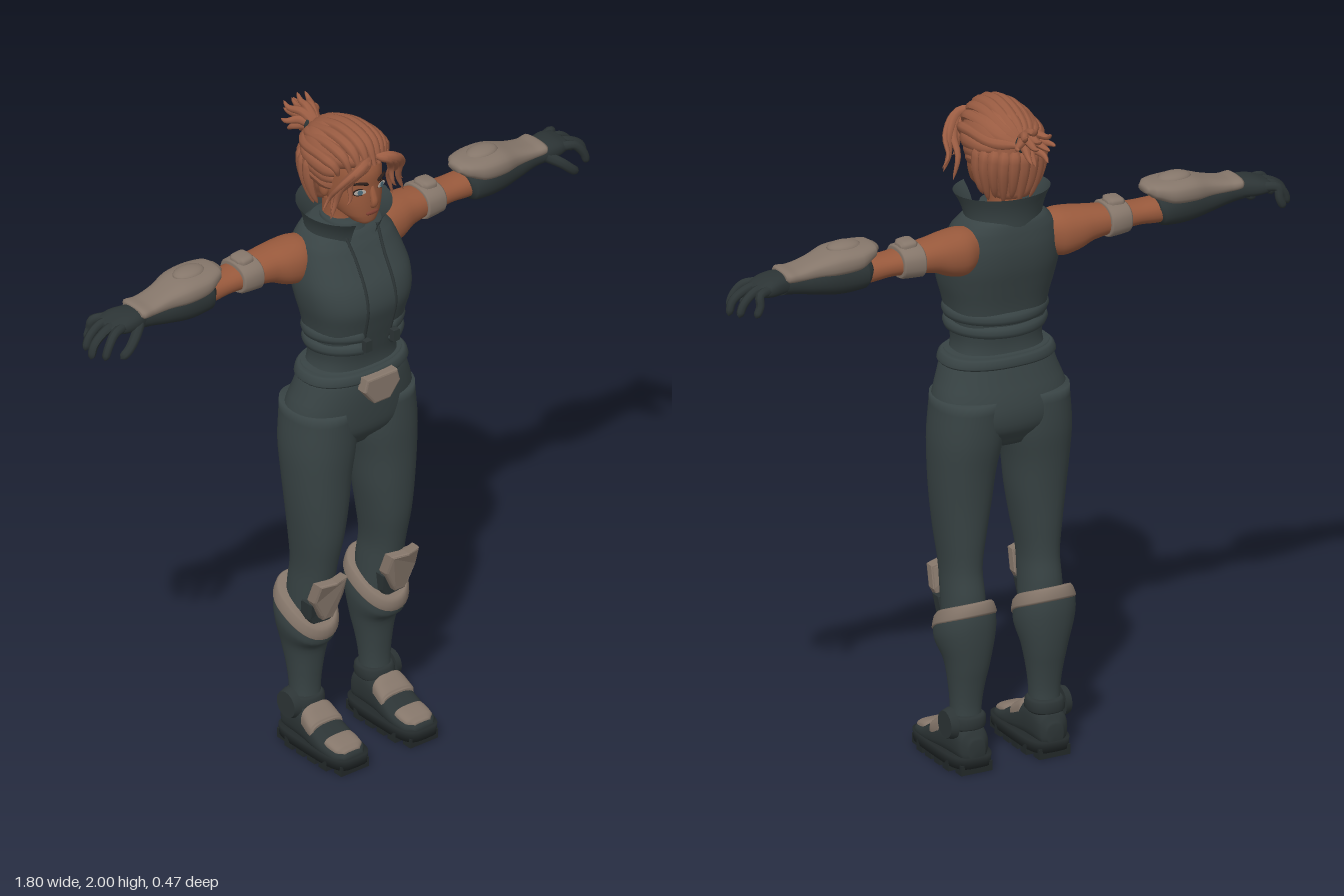
import * as THREE from 'three';

const mat = (name, color, side = THREE.FrontSide) => {
  const m = new THREE.MeshStandardMaterial({ color, side });
  m.name = name;
  return m;
};
const V = (p) => new THREE.Vector3(...p);

// Loft through rows [t, u0, u1, v0, v1] along axis k (0: u=z v=y, 1: u=x v=z, 2: u=y v=x)
function loft(k, rows, n = 2.2, seg = 28, sub = 4) {
  const pos = [], idx = [], R = [];
  rows = [...rows].sort((a, b) => a[0] - b[0]);
  const at = (i) => rows[Math.min(Math.max(i, 0), rows.length - 1)];
  const cubic = (a, b, c, d, t) =>
    b + 0.5 * t * (c - a + t * (2 * a - 5 * b + 4 * c - d + t * (3 * (b - c) + d - a)));
  for (let i = 0; i < rows.length - 1; i++)
    for (let s = 0; s < sub; s++)
      R.push(rows[i].map((_, j) => j
        ? cubic(at(i - 1)[j], at(i)[j], at(i + 1)[j], at(i + 2)[j], s / sub)
        : THREE.MathUtils.lerp(rows[i][0], rows[i + 1][0], s / sub)));
  R.push(at(rows.length));
  const put = (t, u, v) => {
    const p = [0, 0, 0];
    p[k] = t; p[(k + 2) % 3] = u; p[(k + 1) % 3] = v;
    pos.push(...p);
  };
  const pw = (c) => Math.sign(c) * Math.abs(c) ** (2 / n);
  for (const [t, u0, u1, v0, v1] of R)
    for (let j = 0; j < seg; j++) {
      const a = (j / seg) * Math.PI * 2;
      put(t, (u0 + u1 + (u1 - u0) * pw(Math.cos(a))) / 2, (v0 + v1 + (v1 - v0) * pw(Math.sin(a))) / 2);
    }
  const last = R.length - 1, c0 = R.length * seg;
  for (const r of [R[0], R[last]]) put(r[0], (r[1] + r[2]) / 2, (r[3] + r[4]) / 2);
  for (let j = 0; j < seg; j++) {
    const q = (j + 1) % seg;
    for (let i = 0; i < last; i++) {
      const a = i * seg + j, b = a + seg, c = i * seg + q, d = c + seg;
      idx.push(a, b, c, b, d, c);
    }
    idx.push(c0, j, q, c0 + 1, last * seg + q, last * seg + j);
  }
  const g = new THREE.BufferGeometry();
  g.setAttribute('position', new THREE.Float32BufferAttribute(pos, 3));
  g.setIndex(idx);
  g.computeVertexNormals();
  return g;
}

// Move every vertex by a rule
function bend(g, rule) {
  const p = g.attributes.position, v = new THREE.Vector3();
  for (let i = 0; i < p.count; i++) {
    rule(v.fromBufferAttribute(p, i));
    p.setXYZ(i, v.x, v.y, v.z);
  }
  g.computeVertexNormals();
  return g;
}

// Tapered tube through points; r(t) is the radius, sq squashes it along each axis
function sweep(pts, r, sq = [1, 1, 1], n = 14, seg = 8) {
  const curve = new THREE.CatmullRomCurve3(pts.map(V));
  const g = new THREE.TubeGeometry(curve, n, 1, seg);
  let i = 0;
  return bend(g, (v) => {
    const t = Math.floor(i++ / (seg + 1)) / n, c = curve.getPointAt(t);
    v.sub(c).multiplyScalar(r(t)).multiply(V(sq)).add(c);
  });
}
const taper = (r) => (t) => r * Math.sqrt(Math.max(0.0004, Math.min(1, t * 6 + 0.2) * (1 - t)));
const finger = (r) => (t) => r * (t > 0.99 ? 0.02 : t > 0.9 ? 0.7 : 1 - 0.2 * t);
const plate = (pts, depth, bevel = 0.006) => new THREE.ExtrudeGeometry(
  new THREE.Shape(pts.map((p) => new THREE.Vector2(...p))),
  { depth, bevelSize: bevel, bevelThickness: bevel, bevelSegments: 2, bevelEnabled: bevel > 0 });

export function createModel() {
  const model = new THREE.Group();
  const suit = mat('charcoal cloth', 0x384344, THREE.DoubleSide);
  const dark = mat('dark leather', 0x2c3435);
  const sole = mat('black rubber', 0x222829);
  const skin = mat('skin', 0x98593c);
  const hair = mat('auburn hair', 0x9a5c42);
  const armor = mat('taupe armour', 0x85766a);
  const white = mat('eye white', 0xb5aca4);
  const iris = mat('iris blue', 0x4d6c7a);
  const ink = mat('lash brown', 0x2c1e1a);
  const lip = mat('lip', 0x7f4032);

  const add = (name, g, m) => {
    const o = new THREE.Mesh(g, m);
    o.name = name;
    model.add(o);
  };
  const pair = (name, g, m) => {
    add(name + 'Left', g, m);
    const f = g.clone().scale(-1, 1, 1);
    const id = f.index ? Array.from(f.index.array) : Array.from({ length: f.attributes.position.count }, (_, i) => i);
    for (let i = 0; i < id.length; i += 3) [id[i], id[i + 1]] = [id[i + 1], id[i]];
    f.setIndex(id);
    add(name + 'Right', f, m);
  };
  const sym = (rows) => rows.map(([y, w, b, f]) => [y, -w, w, b, f]);

  // Vest, neckband and trousers
  add('vest', loft(1, sym([[1.2, .15, -.05, .15], [1.27, .132, -.04, .148], [1.34, .142, -.05, .165], [1.4, .153, -.06, .182],
    [1.46, .168, -.075, .195], [1.52, .174, -.09, .182], [1.58, .165, -.096, .148], [1.63, .148, -.092, .12],
    [1.66, .12, -.085, .1], [1.68, .08, -.07, .08]]), 2.5, 40), suit);
  add('neckband', loft(1, sym([[1.62, .09, -.07, .1], [1.66, .07, -.06, .095], [1.69, .06, -.05, .085]])), suit);
  add('pelvis', loft(1, sym([[1.25, .155, -.052, .155], [1.2, .172, -.062, .166], [1.1, .204, -.086, .16],
    [1.03, .19, -.08, .145], [.97, .09, -.04, .09]]), 2.3, 36), suit);
  pair('trouserLeg', loft(1, [[1.12, .01, .203, -.085, .152], [1, .006, .214, -.08, .152], [.9, .024, .211, -.064, .147],
    [.8, .036, .203, -.052, .143], [.7, .053, .191, -.045, .135], [.6, .068, .18, -.04, .115],
    [.52, .065, .182, -.05, .1], [.42, .06, .185, -.05, .08]]), suit);
  add('belt', loft(1, sym([[1.212, .172, -.062, .168], [1.218, .176, -.067, .172], [1.238, .169, -.064, .169], [1.244, .162, -.058, .162]]), 2.3, 36, 2), suit);
  add('beltBuckle', plate([[-.05, 1.23], [-.058, 1.2], [-.025, 1.158], [.025, 1.158], [.058, 1.2], [.05, 1.23]], .025).translate(0, 0, .165), armor);

  // Standing collar, open at the front
  const collar = new THREE.PlaneGeometry(1, 1, 36, 5);
  add('collar', bend(collar, (v) => {
    const h = v.y + .5, a = Math.PI + v.x * (2 * Math.PI - .8), c = Math.cos(a);
    const w = .112 + .028 * h * h, d = .1 + .024 * h * h;
    v.set(Math.sin(a) * w, 1.64 + h * (.092 - .012 * c), .012 + c * d + .018 * h * (c + 1) / 2);
  }), suit);

  // Vest seams, hem rolls and clasps
  pair('frontSeam', sweep([[.058, 1.67, .098], [.05, 1.6, .138], [.05, 1.52, .18], [.05, 1.46, .191], [.048, 1.4, .179], [.045, 1.33, .16]],
    () => .005, [1, 1, 1], 20, 6), dark);
  [1.365, 1.325].forEach((y, i) => {
    const ring = Array.from({ length: 25 }, (_, j) => {
      const a = .3 + (j / 24) * (2 * Math.PI - .6);
      return [Math.sin(a) * (.144 - .004 * i), y + .005 * Math.cos(a), .06 + Math.cos(a) * .116];
    });
    add('hemRoll', sweep(ring, (t) => (t < .005 || t > .995 ? .001 : .017), [.85, 1.1, .85], 60, 8), suit);
  });
  pair('hemClasp', new THREE.BoxGeometry(.022, .035, .02).translate(.05, 1.348, .186), dark);

  // Arms with band, gauntlet and glove
  pair('arm', loft(0, [[.1, -.06, .03, 1.54, 1.64], [.15, -.084, .052, 1.512, 1.65], [.2, -.088, .05, 1.518, 1.648],
    [.25, -.084, .036, 1.54, 1.642], [.32, -.08, .028, 1.552, 1.633], [.4, -.074, .022, 1.558, 1.625],
    [.47, -.074, .022, 1.552, 1.625], [.55, -.07, .02, 1.56, 1.62]]), skin);
  pair('armBand', loft(0, [[.296, -.084, .032, 1.545, 1.638], [.302, -.09, .038, 1.542, 1.643], [.36, -.086, .034, 1.546, 1.64],
    [.367, -.08, .028, 1.55, 1.634]], 2.4, 28, 2), armor);
  pair('armBandPad', loft(0, [[.305, -.045, -.01, 1.63, 1.648], [.315, -.055, .005, 1.62, 1.656], [.35, -.055, .005, 1.62, 1.654],
    [.36, -.045, -.01, 1.63, 1.646]], 3), armor);
  pair('gauntletSleeve', loft(0, [[.46, -.072, .02, 1.56, 1.63], [.48, -.084, .04, 1.54, 1.64], [.56, -.082, .042, 1.536, 1.65],
    [.64, -.07, .03, 1.55, 1.635], [.7, -.062, .022, 1.562, 1.632], [.74, -.062, .026, 1.566, 1.632]]), dark);
  pair('gauntletPlate', loft(0, [[.43, -.045, .005, 1.645, 1.664], [.45, -.07, .03, 1.63, 1.674], [.5, -.09, .05, 1.605, 1.676],
    [.57, -.088, .05, 1.598, 1.674], [.63, -.072, .034, 1.6, 1.656], [.69, -.068, .03, 1.602, 1.642],
    [.725, -.072, .034, 1.606, 1.642], [.735, -.06, .025, 1.612, 1.636]], 2.6), armor);
  pair('gauntletBoss', new THREE.SphereGeometry(1, 20, 10).scale(.052, .017, .035).translate(.53, 1.671, -.02), armor);
  pair('palm', loft(0, [[.7, -.056, .018, 1.57, 1.63], [.74, -.066, .03, 1.572, 1.634], [.78, -.078, .03, 1.574, 1.63],
    [.815, -.078, .02, 1.582, 1.618], [.828, -.065, .008, 1.59, 1.608]], 2.5), dark);
  [[-.072, .855], [-.044, .888], [-.014, .9], [.014, .88]].forEach(([z, x], i) => {
    const s = (z + .03) * .35;
    pair('finger' + (i + 1), sweep([[.795, 1.604, z * .9], [.83, 1.6, z + s * .5], [x - .022, 1.57, z + s], [x - .008, 1.525 + .006 * Math.abs(i - 2), z + s]],
      finger(.0145)), dark);
  });
  pair('thumb', sweep([[.735, 1.595, .015], [.77, 1.572, .038], [.8, 1.545, .046], [.825, 1.525, .042]], finger(.017)), dark);

  // Tall boots with slanted cuffs
  const slant = (v) => {
    const w = THREE.MathUtils.smoothstep(v.y, .3, .44);
    v.y -= w * (.45 * v.z + 3 * Math.max(0, v.z) ** 2);
  };
  pair('bootShaft', bend(loft(1, [[.08, .082, .172, -.045, .05], [.18, .082, .17, -.042, .045], [.25, .074, .176, -.052, .05],
    [.33, .058, .19, -.07, .062], [.4, .043, .211, -.083, .085], [.45, .042, .213, -.083, .095], [.48, .05, .203, -.075, .096]]), slant), suit);
  pair('bootCuff', bend(loft(1, [[.448, .042, .212, -.083, .097], [.455, .039, .215, -.087, .102], [.485, .047, .206, -.08, .105],
    [.492, .054, .2, -.073, .098]], 2.2, 32, 2), slant), armor);
  const curl = (v) => { v.z -= 7 * (v.x - .13) ** 2 - .3 * (v.y - .5); };
  pair('kneePlate', bend(plate([[.086, .575], [.082, .52], [.108, .47], [.116, .455], [.144, .455], [.152, .47], [.178, .52], [.174, .575],
    [.13, .578]], .024).translate(0, 0, .1), curl), armor);
  pair('kneeGuard', bend(plate([[.082, .5], [.088, .45], [.115, .405], [.145, .405], [.172, .45], [.178, .5]], .03).translate(0, 0, .078), curl), dark);

  // Feet: upper, toe cap, straps, ankle disc and lugged sole
  pair('bootFoot', loft(2, [[-.068, .04, .1, .1, .15], [-.05, .03, .13, .082, .172], [0, .03, .155, .076, .18], [.05, .03, .145, .073, .184],
    [.1, .03, .112, .068, .188], [.15, .03, .084, .066, .188], [.2, .03, .072, .072, .182], [.226, .036, .06, .095, .16]], 2.6), dark);
  pair('toeCap', loft(2, [[.145, .05, .085, .085, .17], [.152, .045, .092, .076, .178], [.2, .045, .08, .08, .174], [.216, .05, .068, .1, .155]], 3), armor);
  pair('instepStrap', loft(2, [[.05, .06, .142, .078, .179], [.056, .06, .15, .074, .184], [.1, .06, .121, .07, .188], [.107, .06, .112, .074, .182]], 2.8), armor);
  pair('ankleCuff', loft(1, [[.125, .078, .178, -.05, .05], [.132, .072, .182, -.056, .058], [.16, .072, .18, -.055, .054], [.168, .08, .172, -.046, .046]], 2.3, 28, 2), dark);
  const disc = new THREE.CylinderGeometry(.04, .047, .022, 24).rotateZ(-Math.PI / 2);
  pair('ankleDisc', disc.translate(.183, .14, 0), dark);
  pair('soleSlab', loft(1, [[.018, .06, .19, -.068, .234], [.05, .058, .192, -.07, .236]], 4, 32, 1), sole);
  for (let i = 0; i < 6; i++)
    pair('soleLug', new THREE.BoxGeometry(i % 5 ? .128 : .1, .03, .034).translate(.125, .015, -.046 + i * .051), sole);

  // Neck, head and face
  add('neck', loft(1, sym([[1.62, .06, -.06, .07], [1.68, .048, -.05, .055], [1.76, .048, -.05, .06]])), skin);
  add('head', loft(1, sym([[1.704, .018, .085, .13], [1.715, .035, .06, .143], [1.74, .058, .01, .148], [1.78, .074, -.04, .15],
    [1.83, .08, -.08, .15], [1.88, .08, -.09, .15], [1.93, .07, -.08, .12], [1.96, .04, -.04, .07]]), 2.15, 36), skin);
  add('nose', sweep([[0, 1.835, .145], [0, 1.805, .153], [0, 1.782, .158], [0, 1.77, .148]], (t) => .006 + .006 * Math.sin(t * 2.6), [1, 1, .8]), skin);
  add('mouth', new THREE.SphereGeometry(1, 16, 8).scale(.023, .007, .006).translate(0, 1.748, .147), lip);
  pair('ear', new THREE.SphereGeometry(1, 14, 10).scale(.012, .028, .018).translate(.08, 1.805, .03), skin);
  const facePlate = (rx, ry, z) => new THREE.CylinderGeometry(1, 1, .002, 20).rotateX(Math.PI / 2)
    .scale(rx, ry, 1).translate(0, 0, z).rotateY(.36).translate(.038, 1.822, .139);
  pair('eyeLiner', facePlate(.022, .0115, 0), ink);
  pair('eyeWhite', facePlate(.018, .008, .0015), white);
  pair('iris', facePlate(.0078, .0078, .003), iris);
  pair('eyebrow', sweep([[.016, 1.845, .15], [.04, 1.853, .144], [.064, 1.846, .123]], taper(.006)), ink);

  // Hair: cap, swept-back locks, nape locks, fringe and tied tail
  add('hairCap', loft(1, sym([[1.735, .055, -.085, .0], [1.79, .084, -.1, .03], [1.85, .097, -.112, .06], [1.89, .1, -.115, .125],
    [1.92, .098, -.112, .15], [1.95, .082, -.09, .13], [1.975, .05, -.05, .09], [1.984, .02, -.01, .05]]), 2.1, 36), hair);
  for (let i = -4; i <= 4; i++) {
    const q = i * i;
    add('crownLock', sweep([[.02 * i, 1.905 - .002 * q, .158 - .004 * q], [.023 * i, 1.962 - .0035 * q, .125 - .002 * q],
      [.0235 * i, 1.983 - .0042 * q, .04], [.019 * i, 1.955 - .0028 * q, -.06], [.005 * i, 1.91, -.115]],
      (t) => .017 * Math.min(1, .35 + 3 * t, .5 + 3 * (1 - t)), [1, 1, 1], 20), hair);
  }
  for (let i = 0; i < 3; i++)
    pair('sideLock', sweep([[.088 - .006 * i, 1.88 - .03 * i, .09 - .015 * i], [.1 - .003 * i, 1.885 - .022 * i, .03],
      [.088, 1.89 - .018 * i, -.05], [.02, 1.9 - .008 * i, -.112]], taper(.026), [.6, 1, .8]), hair);
  for (let i = -5; i <= 5; i++) {
    const a = i * .3, s = Math.sin(a), c = Math.cos(a);
    add('napeLock', sweep([[s * .09, 1.89, -.01 - c * .1], [s * .098, 1.83, -.008 - c * .1], [s * .088, 1.77, -.005 - c * .09],
      [s * .074, 1.722 + .012 * (i & 1), -c * .08]], taper(.023)), hair);
  }
  [[.13, 1.765, .125, .018], [.112, 1.745, .1, .016], [.145, 1.785, .105, .013], [.09, 1.8, .145, .015]].forEach(([x, y, z, r]) =>
    pair('fringeLock', sweep([[.012, 1.925, .15], [x * .48, 1.915, .167], [x * .8, 1.865, .14], [x * .86, 1.815, z], [x, y, z]], taper(r)), hair));
  add('hairTie', new THREE.TorusGeometry(.022, .009, 8, 18).translate(0, 1.915, -.118), dark);
  [[0, 1.985, -.19], [.035, 1.97, -.2], [-.035, 1.965, -.205], [.02, 1.94, -.235], [-.02, 1.925, -.225], [.055, 1.93, -.19],
    [-.055, 1.92, -.19], [.03, 1.89, -.215], [-.03, 1.875, -.195], [0, 1.955, -.215], [0, 1.865, -.18]].forEach(([x, y, z]) =>
    add('tailLock', sweep([[0, 1.915, -.1], [x * .5, (1.92 + y) / 2 + .006, -.145], [x, (1.92 + y * 2) / 3, z * .9], [x * 1.05, y, z]], taper(.018)), hair));
  return model;
}
